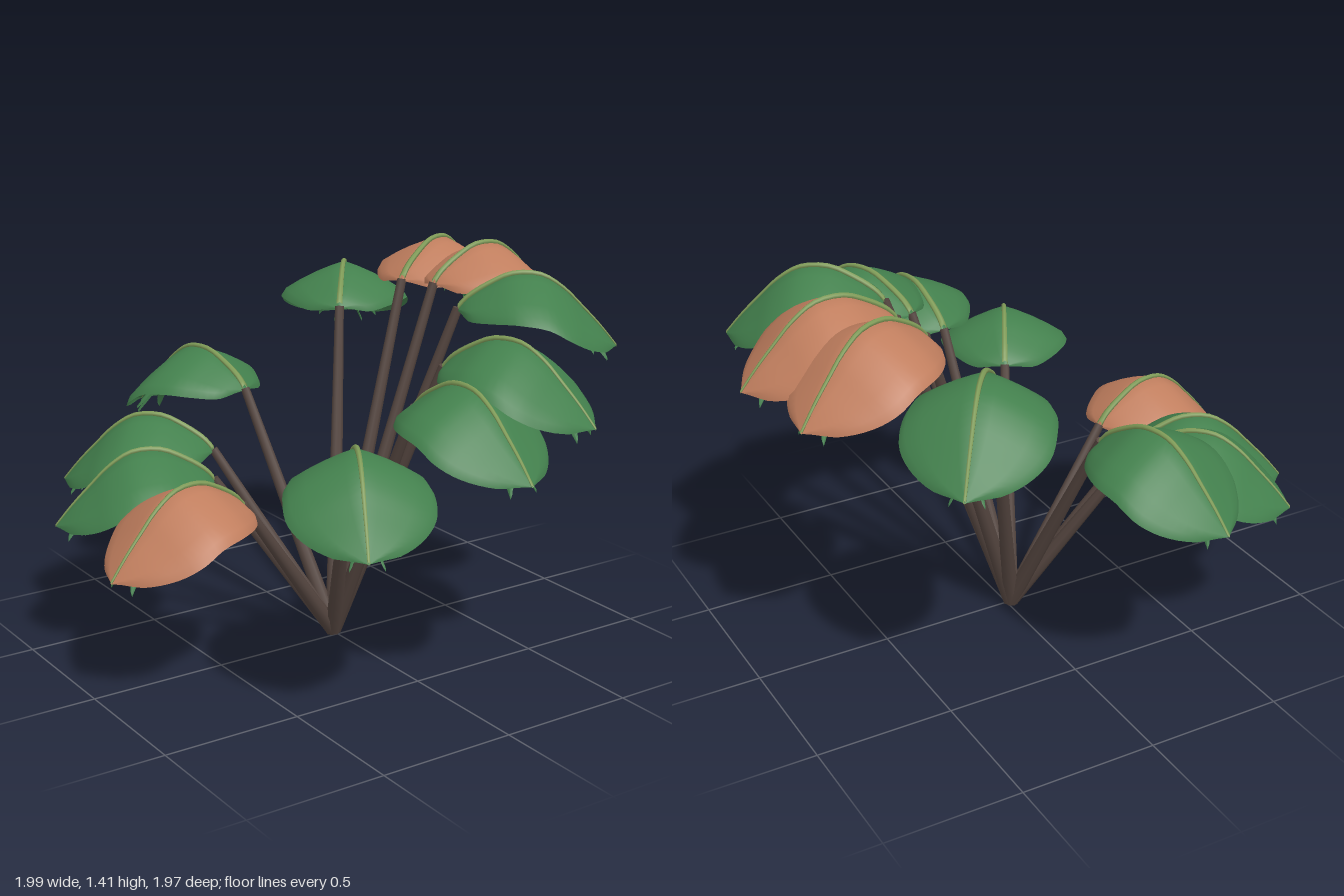
import * as THREE from 'three';

const mat = (name, color, side = THREE.DoubleSide) => {
  const m = new THREE.MeshStandardMaterial({ color, side });
  m.name = name;
  return m;
};

// Grid surface from a rule at(s, q): s runs 0..1 along, q runs -1..1 across
function sheet(at, rows, across) {
  const pos = [], index = [], w = across.length;
  for (let i = 0; i <= rows; i++) {
    for (const q of across) pos.push(...at(i / rows, q));
  }
  for (let i = 0; i < rows; i++) {
    for (let j = 0; j < w - 1; j++) {
      const a = i * w + j, b = a + w;
      index.push(a, b, a + 1, a + 1, b, b + 1);
    }
  }
  const g = new THREE.BufferGeometry();
  g.setAttribute('position', new THREE.Float32BufferAttribute(pos, 3));
  g.setIndex(index);
  g.computeVertexNormals();
  return g;
}

// Leaf spine: x = half width, y = height of midrib, z = distance outward
const spine = new THREE.CatmullRomCurve3([
  [0.015, 0, 0], [0.115, 0.038, 0.035], [0.18, 0.08, 0.1], [0.232, 0.119, 0.19],
  [0.247, 0.115, 0.29], [0.24, 0.068, 0.37], [0.195, 0.0, 0.44],
  [0.12, -0.068, 0.505], [0, -0.14, 0.565],
].map((p) => new THREE.Vector3(...p)));

const droop = (l) => 0.3 * l + 0.8 * l * l;

// Arched blade with a turned-down rim
function bladeGeometry() {
  const across = [-1, -0.92, -0.7, -0.45, -0.2, 0, 0.2, 0.45, 0.7, 0.92, 1];
  return sheet((s, q) => {
    const p = spine.getPoint(s);
    const l = Math.abs(q) * p.x;
    const rim = Math.abs(q) === 1 ? 0.018 * Math.min(1, p.x / 0.1) : 0;
    return [q * p.x, p.y - droop(l) - rim, p.z];
  }, 28, across);
}

// Small pointed leaflet hanging under the blade
function leafletGeometry(t, side) {
  const a = spine.getPoint(t), b = spine.getPoint(t + 0.2);
  return sheet((s, q) => {
    const l = 0.68 * b.x * s;
    const half = 0.036 * Math.pow(Math.sin(Math.PI * (0.08 + 0.92 * s)), 0.8);
    const y = a.y + (b.y - a.y) * s - droop(l) - 0.022 - 0.035 * s - 0.012 * q * q;
    return [side * l, y - q * half * 0.55, a.z + (b.z - a.z) * s + q * half * 0.8];
  }, 6, [-1, 0, 1]);
}

// Tapered midrib following the spine
function ribGeometry() {
  const ring = 6;
  return sheet((s, q) => {
    const p = spine.getPoint(s);
    const r = 0.013 - 0.008 * s;
    const a = q * Math.PI;
    return [Math.sin(a) * r, p.y + 0.003 + Math.cos(a) * r, p.z];
  }, 24, Array.from({ length: ring + 1 }, (_, i) => (i / ring) * 2 - 1));
}

// Leaf stalks: base x, base z, tip x, tip z, tip height, copper or not
const leaves = [
  [0.43, -0.015, 0.99, -0.02, 1.13, true],
  [0.40, -0.17, 0.93, -0.36, 1.12, true],
  [0.25, -0.36, 0.60, -0.81, 1.0, false],
  [-0.12, -0.44, -0.27, -0.98, 0.72, false],
  [-0.33, -0.32, -0.75, -0.70, 0.55, false],
  [-0.41, -0.18, -0.94, -0.40, 0.49, false],
  [-0.44, 0.07, -1.0, 0.16, 0.47, true],
  [-0.20, 0.37, -0.47, 0.87, 0.65, false],
  [0.03, 0.42, 0.08, 0.98, 0.83, false],
  [0.18, 0.38, 0.42, 0.89, 0.94, false],
  [0.36, 0.22, 0.84, 0.53, 1.09, false],
];

export function createModel() {
  const green = mat('leaf green', 0x43804d);
  const copper = mat('copper leaf', 0xc07e5e);
  const ribMat = mat('midrib olive', 0x809c58);
  const bark = mat('stem brown', 0x54453f, THREE.FrontSide);

  const model = new THREE.Group();
  model.name = 'plant';

  const blade = bladeGeometry();
  const rib = ribGeometry();
  const leaflets = [];
  for (let k = 0; k < 6; k++) {
    for (const side of [-1, 1]) leaflets.push(leafletGeometry(0.14 + k * 0.115, side));
  }

  const add = (parent, name, geometry, material) => {
    const m = new THREE.Mesh(geometry, material);
    m.name = name;
    parent.add(m);
    return m;
  };

  const root = new THREE.Vector3(-0.01, 0.015, -0.015);
  const up = new THREE.Vector3(0, 1, 0);

  for (const [bx, bz, tx, tz, ty, isCopper] of leaves) {
    const base = new THREE.Vector3(bx, ty + 0.14, bz);

    // Straight tapered stem from the root to the leaf base
    const dir = base.clone().sub(root);
    const stem = add(model, 'stem',
      new THREE.CylinderGeometry(0.017, 0.03, dir.length(), 8, 1), bark);
    stem.position.copy(root).addScaledVector(dir, 0.5);
    stem.quaternion.setFromUnitVectors(up, dir.normalize());

    // Leaf turned outward
    const leaf = new THREE.Group();
    leaf.name = 'leaf';
    leaf.position.copy(base);
    leaf.rotation.y = Math.atan2(tx - bx, tz - bz);
    add(leaf, 'blade', blade, isCopper ? copper : green);
    add(leaf, 'midrib', rib, ribMat);
    for (const g of leaflets) add(leaf, 'leaflet', g, green);
    model.add(leaf);
  }
  return model;
}
